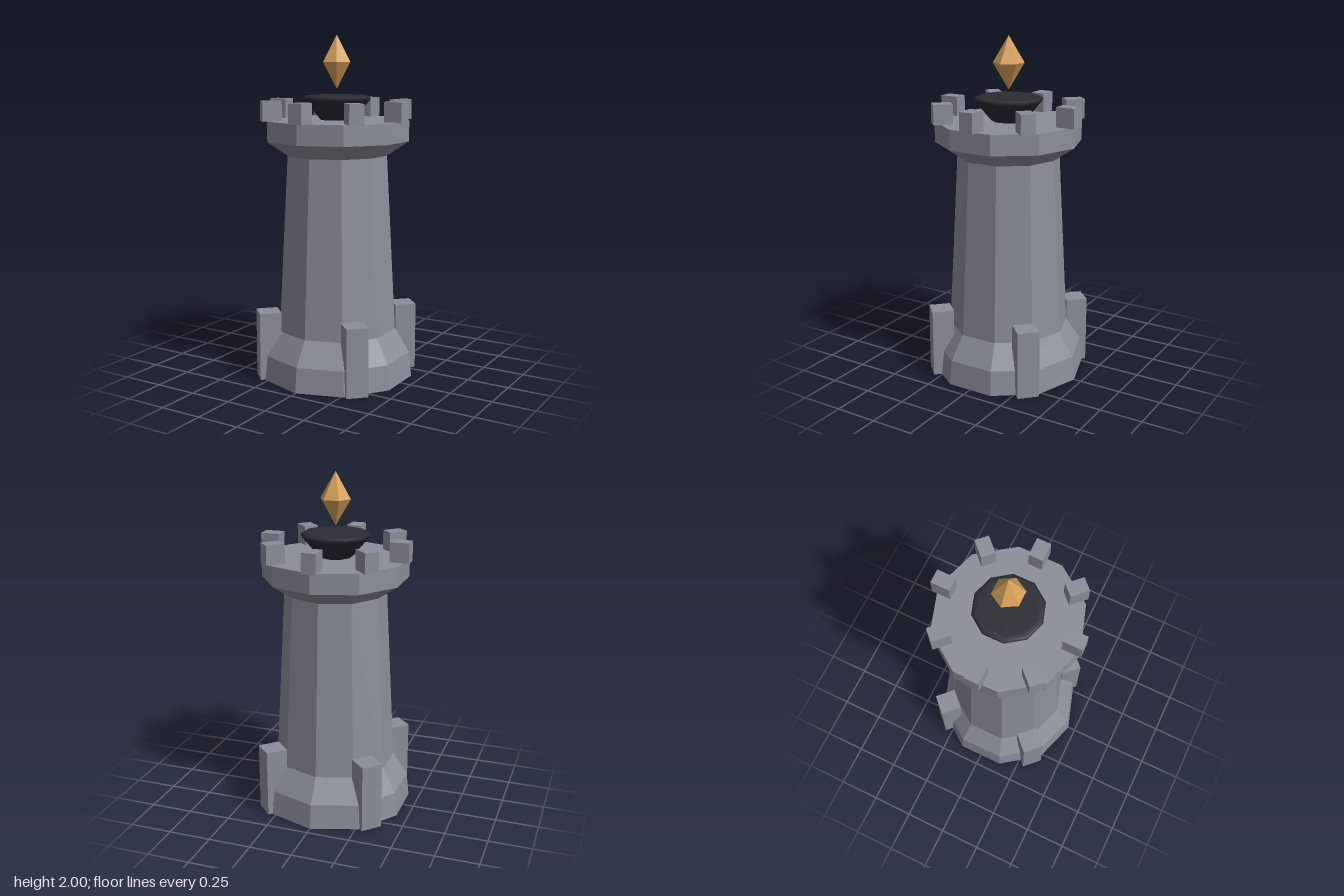
import * as THREE from 'three';

const stone = new THREE.MeshStandardMaterial({ color: 0x8a8f98 });
stone.name = 'stone';
const charcoal = new THREE.MeshStandardMaterial({ color: 0x2b2b33 });
charcoal.name = 'charcoal';
const amber = new THREE.MeshStandardMaterial({ color: 0xd6a05a });
amber.name = 'amber';

// Turned solid from [radius, y] pairs listed bottom to top
function turned(profile, sides, faceted = true) {
  const pts = profile.map(([r, y]) => new THREE.Vector2(r, y));
  const lathe = new THREE.LatheGeometry(pts, sides);
  if (!faceted) return lathe;
  const flat = lathe.toNonIndexed();
  flat.computeVertexNormals();
  return flat;
}

function addMesh(parent, name, geometry, material) {
  const mesh = new THREE.Mesh(geometry, material);
  mesh.name = name;
  parent.add(mesh);
  return mesh;
}

// Ring of boxes facing outward, standing on height y
function boxRing(parent, name, count, startAngle, radius, y, [w, h, d]) {
  const geometry = new THREE.BoxGeometry(w, h, d);
  for (let i = 0; i < count; i++) {
    const a = startAngle + (i / count) * Math.PI * 2;
    const box = addMesh(parent, name, geometry, stone);
    box.position.set(Math.sin(a) * radius, y + h / 2, Math.cos(a) * radius);
    box.rotation.y = a;
  }
}

export function createModel() {
  const tower = new THREE.Group();
  tower.name = 'tower';

  // Ten-sided stone body
  addMesh(tower, 'base', turned([[0, 0], [0.455, 0], [0.44, 0.145], [0.352, 0.287], [0, 0.287]], 10), stone);
  addMesh(tower, 'shaft', turned([[0.354, 0.28], [0.297, 1.32]], 10), stone);
  addMesh(tower, 'parapet', turned([[0, 1.315], [0.297, 1.315], [0.424, 1.4], [0.424, 1.517], [0, 1.517]], 10), stone);

  // Corner supports and battlements
  boxRing(tower, 'buttress', 4, Math.PI / 4, 0.413, 0, [0.127, 0.4, 0.127]);
  boxRing(tower, 'merlon', 8, 0, 0.386, 1.515, [0.083, 0.115, 0.111]);

  // Smooth dark brazier with a softened rim
  addMesh(tower, 'brazier', turned([
    [0, 1.512], [0.09, 1.512], [0.105, 1.525], [0.192, 1.628], [0.199, 1.642],
    [0.193, 1.652], [0.18, 1.656], [0.16, 1.657], [0, 1.657],
  ], 10, false), charcoal);

  // Floating six-sided crystal
  const crystal = addMesh(tower, 'crystal', turned([[0, 1.694], [0.09, 1.847], [0, 2]], 6), amber);
  crystal.rotation.y = Math.PI / 6;

  return tower;
}
